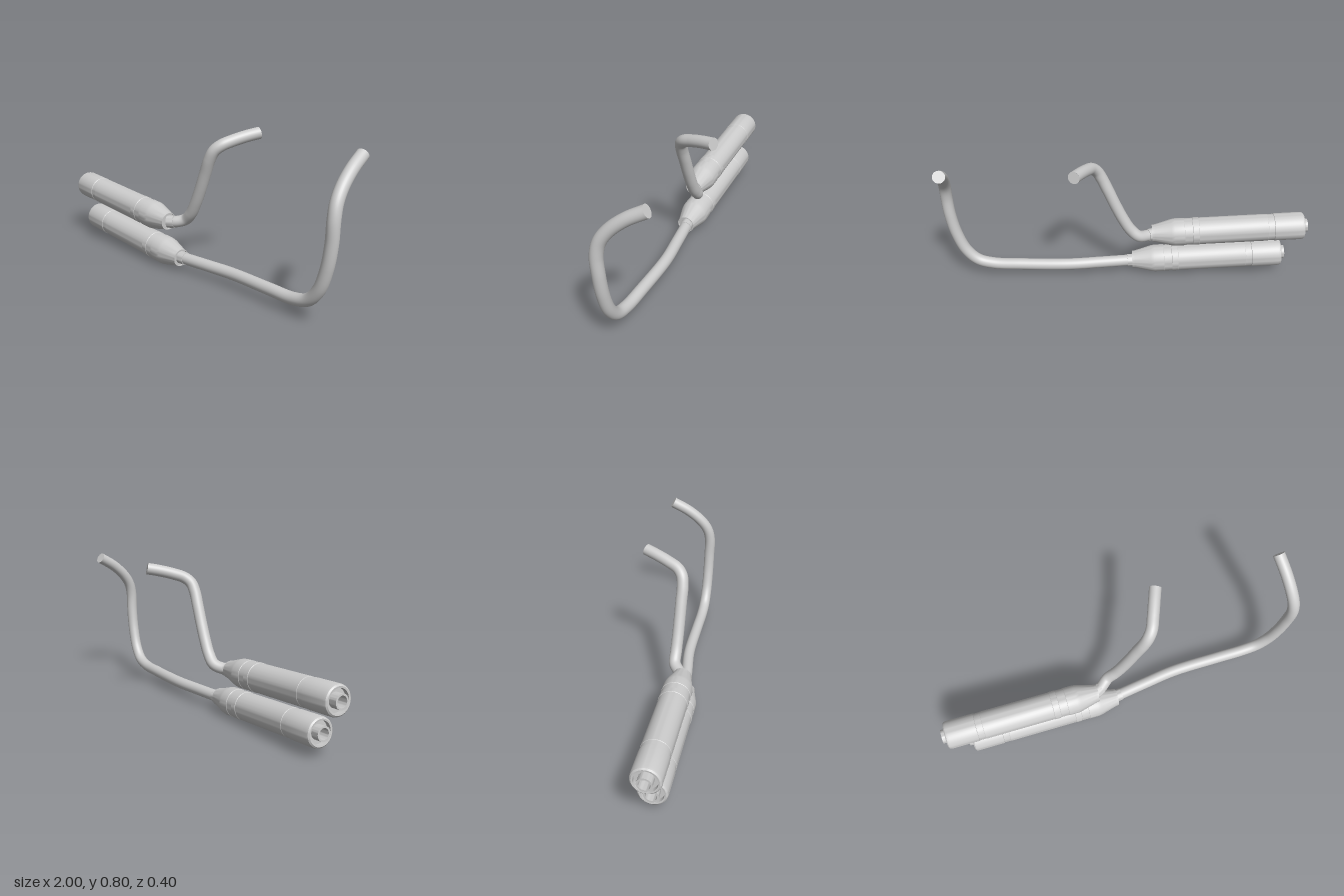
import * as THREE from 'three';
import { toCreasedNormals } from 'three/addons/utils/BufferGeometryUtils.js';

const V = (x, y, z) => new THREE.Vector3(x, y, z);

// Silencer profile [radius, distance from the tail tip]
const silencerProfile = [
  [0, 0.07], [0.028, 0.07], [0.028, 0], [0.037, 0], [0.037, 0.045],
  [0.058, 0.045], [0.058, 0.021], [0.066, 0.02], [0.073, 0.026], [0.076, 0.038],
  [0.076, 0.185], [0.0735, 0.187], [0.0735, 0.22], [0.075, 0.222],
  [0.075, 0.60], [0.077, 0.602], [0.077, 0.635], [0.075, 0.637],
  [0.075, 0.68], [0.077, 0.682], [0.077, 0.735], [0.074, 0.755],
  [0.050, 0.845], [0.048, 0.862], [0.044, 0.862], [0.044, 0.852], [0, 0.852],
];

// Bent pipe with a collar at its start and closed ends
function makePipe(name, points, radius, material) {
  const group = new THREE.Group();
  group.name = name;
  const curve = new THREE.CatmullRomCurve3(points.map(p => V(...p)), false, 'centripetal');
  const tube = new THREE.Mesh(new THREE.TubeGeometry(curve, 120, radius, 28), material);
  tube.name = name + 'Tube';
  group.add(tube);

  for (const end of [0, 1]) {
    const cap = new THREE.Mesh(new THREE.CircleGeometry(radius, 28), material);
    cap.name = name + (end ? 'Inlet' : 'Outlet') + 'Cap';
    cap.position.copy(curve.getPointAt(end));
    cap.quaternion.setFromUnitVectors(V(0, 0, 1), curve.getTangentAt(end).multiplyScalar(end ? 1 : -1));
    group.add(cap);
  }

  const a = curve.getPointAt(0), dir = curve.getTangentAt(0);
  const collar = new THREE.Mesh(
    toCreasedNormals(new THREE.CylinderGeometry(radius + 0.003, radius + 0.003, 0.04, 28), 0.6), material);
  collar.name = name + 'Collar';
  collar.position.copy(a).addScaledVector(dir, 0.02);
  collar.quaternion.setFromUnitVectors(V(0, 1, 0), dir);
  group.add(collar);
  return group;
}

export function createModel() {
  const model = new THREE.Group();
  model.name = 'twinExhaust';
  const steel = new THREE.MeshStandardMaterial({ color: 0xcccccc });
  steel.name = 'steel';

  // Two identical silencers, slightly nose-down
  const silencerGeometry = toCreasedNormals(
    new THREE.LatheGeometry(silencerProfile.map(([r, t]) => new THREE.Vector2(r, t)), 48), 0.4);
  const axis = V(0.86, -0.05, -0.017).normalize();
  for (const [name, tail] of [['upperSilencer', V(-1, 0.305, 0.122)], ['lowerSilencer', V(-0.89, 0.125, 0.122)]]) {
    const silencer = new THREE.Mesh(silencerGeometry, steel);
    silencer.name = name;
    silencer.position.copy(tail);
    silencer.quaternion.setFromUnitVectors(V(0, 1, 0), axis);
    model.add(silencer);
  }

  // Header pipes, from the silencer nose to the engine end
  model.add(makePipe('upperPipe', [
    [-0.15, 0.252, 0.103], [-0.11, 0.256, 0.08], [-0.065, 0.274, 0.047], [-0.02, 0.318, 0.043],
    [0.02, 0.385, 0.043], [0.06, 0.47, 0.043], [0.1, 0.565, 0.043], [0.133, 0.64, 0.043],
    [0.158, 0.688, 0.033], [0.182, 0.717, 0.005], [0.205, 0.738, -0.05], [0.232, 0.757, -0.12],
    [0.257, 0.77, -0.185],
  ], 0.0315, steel));
  model.add(makePipe('lowerPipe', [
    [-0.04, 0.075, 0.1], [0.15, 0.077, 0.072], [0.33, 0.079, 0.048], [0.6, 0.082, 0.043],
    [0.75, 0.087, 0.043], [0.84, 0.113, 0.043], [0.9, 0.18, 0.043], [0.94, 0.29, 0.043],
    [0.96, 0.41, 0.043], [0.965, 0.52, 0.043], [0.96, 0.59, 0.026], [0.95, 0.65, -0.015],
    [0.935, 0.715, -0.09], [0.917, 0.77, -0.185],
  ], 0.0315, steel));

  return model;
}
